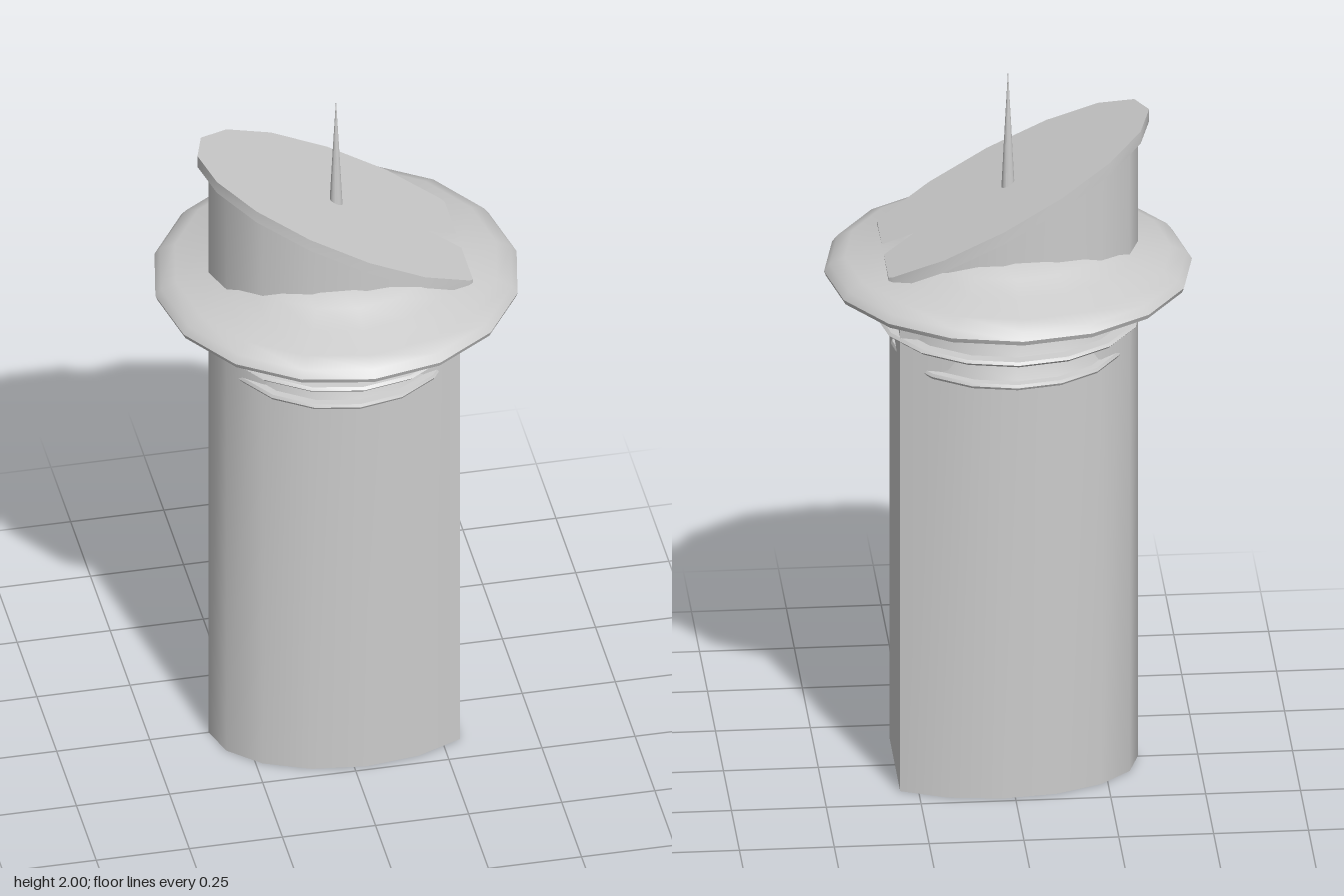
import * as THREE from 'three';
import { toCreasedNormals } from 'three/addons/utils/BufferGeometryUtils.js';

const material = new THREE.MeshStandardMaterial({ color: 0xcccccc, side: THREE.DoubleSide });

// 16-sided ellipse with its +x end cut off flat
function cutEllipse(a, b) {
  const points = [];
  for (let i = 2; i <= 14; i++) {
    const t = (i * Math.PI) / 8;
    points.push([0.033 + a * Math.cos(t), b * Math.sin(t)]);
  }
  return points;
}

// Upright prism over an outline of [x, z], its heights given as functions of x
function prism(outline, bottom, top, capped) {
  const positions = [];
  const low = ([x, z]) => [x, bottom(x), z];
  const high = ([x, z]) => [x, top(x), z];
  const tri = (...corners) => corners.forEach((c) => positions.push(...c));
  const first = outline[0];
  outline.forEach((p, i) => {
    const q = outline[(i + 1) % outline.length];
    tri(low(q), low(p), high(p));
    tri(low(q), high(p), high(q));
    if (capped && i > 0 && i < outline.length - 1) {
      tri(high(first), high(q), high(p));
      tri(low(first), low(p), low(q));
    }
  });
  const geometry = new THREE.BufferGeometry();
  geometry.setAttribute('position', new THREE.Float32BufferAttribute(positions, 3));
  return toCreasedNormals(geometry, 0.75);
}

function lathe(profile, crease) {
  const points = profile.map(([r, y]) => new THREE.Vector2(r, y));
  return toCreasedNormals(new THREE.LatheGeometry(points, 16), crease);
}

export function createModel() {
  const model = new THREE.Group();
  const add = (name, geometry) => {
    const mesh = new THREE.Mesh(geometry, material);
    mesh.name = name;
    model.add(mesh);
  };

  // Slanted plane of the roof
  const roofTop = (x) => 1.67 - 0.54 * x;
  const roofUnder = (x) => roofTop(x) - 0.035;

  // Hollow shaft, open at the foot and cut on the slant at the head
  add('shaft', prism(cutEllipse(0.375, 0.235), () => 0, roofUnder, false));

  // Slanted roof plate, overhanging the shaft
  const plate = [[0.33, 0.178], ...cutEllipse(0.405, 0.267), [0.33, -0.178]];
  add('roofPlate', prism(plate, roofUnder, roofTop, true));

  // Wide brim with a flat underside and a gently domed top
  add('brim', lathe([
    [0.24, 1.415], [0.45, 1.415], [0.48, 1.422], [0.485, 1.435], [0.47, 1.455],
    [0.43, 1.474], [0.34, 1.49], [0.28, 1.52], [0.22, 1.55], [0.2, 1.55],
  ], 0.7));

  // Two flared collars under the brim, each with a thin lip
  add('upperCollar', lathe([
    [0.22, 1.297], [0.345, 1.297], [0.352, 1.304], [0.345, 1.311], [0.318, 1.313],
    [0.305, 1.35], [0.295, 1.4], [0.295, 1.42],
  ], 0.6));
  add('lowerCollar', lathe([
    [0.22, 1.212], [0.305, 1.212], [0.309, 1.219], [0.305, 1.227], [0.287, 1.229],
    [0.275, 1.26], [0.265, 1.3],
  ], 0.6));

  // Central spire, flared at the foot and running up through the roof
  add('spire', lathe([
    [0.165, 0], [0.125, 0.18], [0.085, 0.45], [0.05, 0.9], [0.025, 1.4],
    [0.017, 1.67], [0.008, 1.85], [0, 2],
  ], 0.6));

  return model;
}
